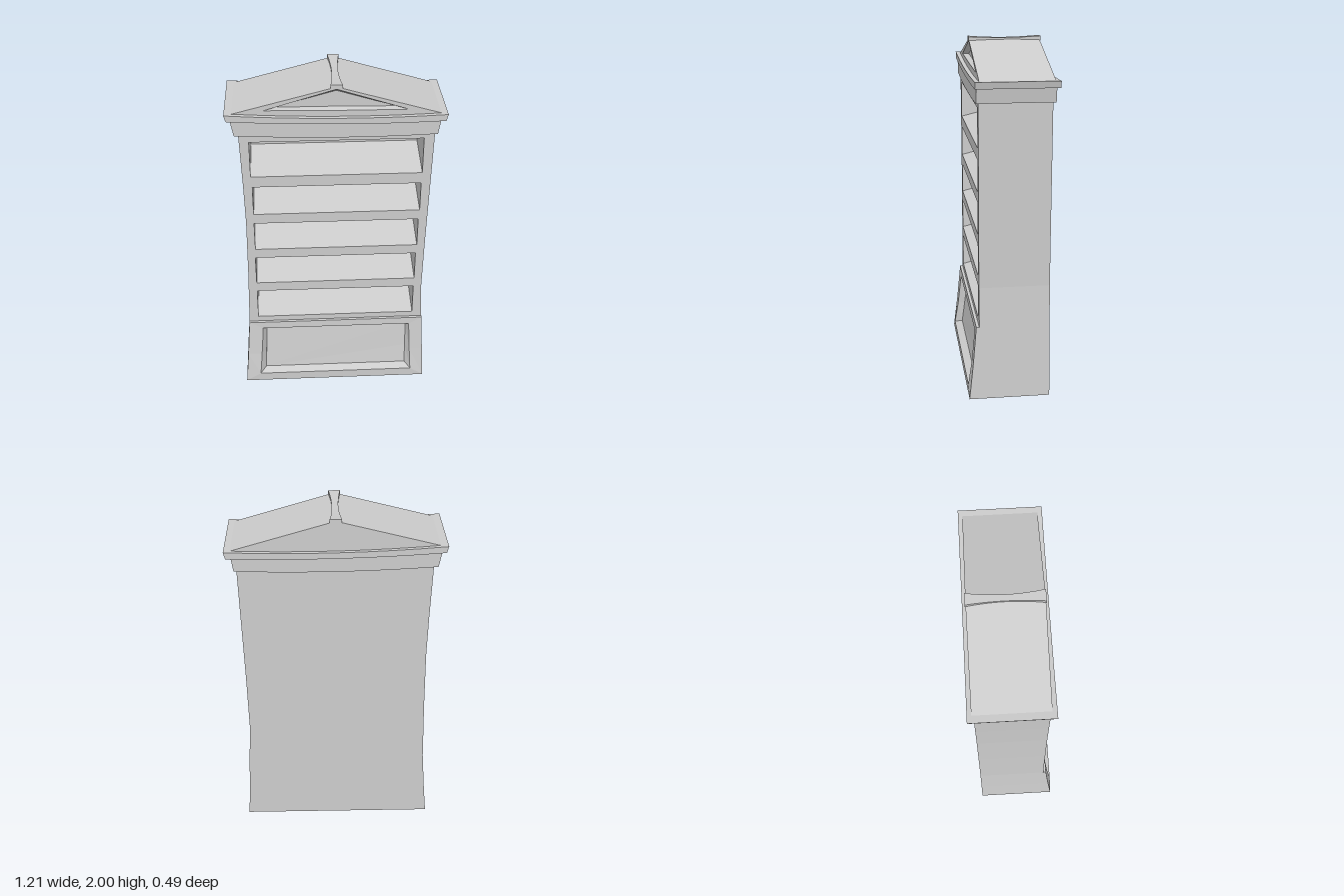
import * as THREE from 'three';

const material = new THREE.MeshStandardMaterial({ color: 0xcccccc, flatShading: true });

function addMesh(group, name, geometry) {
  const mesh = new THREE.Mesh(geometry, material);
  mesh.name = name;
  group.add(mesh);
}

const outline = (points) => new THREE.Shape(points.map(([x, y]) => new THREE.Vector2(x, y)));

// Extrude a front-facing outline between two depths
function slab(shape, zBack, zFront) {
  const g = new THREE.ExtrudeGeometry(shape, { depth: zFront - zBack, bevelEnabled: false, curveSegments: 8 });
  return g.translate(0, 0, zBack);
}

// Skin a series of counter-clockwise rings from back to front; the back cap is optional
function loft(rings, closeBack = true) {
  const pos = [];
  const n = rings[0].length;
  const tri = (a, b, c) => pos.push(...a, ...b, ...c);
  for (let r = 0; r < rings.length - 1; r++) {
    for (let i = 0; i < n; i++) {
      const j = (i + 1) % n;
      const [a, b, c, d] = [rings[r][i], rings[r][j], rings[r + 1][j], rings[r + 1][i]];
      tri(a, b, c);
      tri(a, c, d);
    }
  }
  const first = rings[0], last = rings[rings.length - 1];
  for (let i = 1; i < n - 1; i++) {
    if (closeBack) tri(first[0], first[i + 1], first[i]);
    tri(last[0], last[i], last[i + 1]);
  }
  const g = new THREE.BufferGeometry();
  g.setAttribute('position', new THREE.Float32BufferAttribute(pos, 3));
  g.computeVertexNormals();
  return g;
}

const atDepth = (points, z) => points.map(([x, y]) => [x, y, z]);

// Band whose bottom and top edges sag through the given middle heights
function saggingBand(bl, br, tr, tl, midBottom, midTop) {
  const s = new THREE.Shape();
  const control = (a, b, mid) => 2 * mid - (a[1] + b[1]) / 2;
  s.moveTo(...bl);
  s.quadraticCurveTo(0, control(bl, br, midBottom), ...br);
  s.lineTo(...tr);
  s.quadraticCurveTo(0, control(tl, tr, midTop), ...tl);
  s.closePath();
  return s;
}

export function createModel() {
  const group = new THREE.Group();
  group.name = 'bookcase';

  const BACK = -0.214, INNER = -0.08, FRONT = 0.187;

  // Waisted, slightly crooked silhouette of the case
  const silhouette = [
    [-0.57, 0], [0.547, 0], [0.537, 0.2], [0.527, 0.43], [0.515, 0.66], [0.521, 1.0], [0.532, 1.4], [0.541, 1.74],
    [-0.536, 1.74], [-0.525, 1.4], [-0.52, 1.15], [-0.525, 0.8], [-0.535, 0.43], [-0.552, 0.2],
  ];

  // Shelf openings: left, right, bottom, top
  const openings = [
    [-0.478, 0.467, 0.465, 0.66],
    [-0.478, 0.469, 0.72, 0.903],
    [-0.475, 0.474, 0.963, 1.143],
    [-0.474, 0.479, 1.205, 1.385],
    [-0.48, 0.482, 1.452, 1.67],
  ];
  const frame = outline(silhouette);
  for (const [l, r, b, t] of [...openings, [-0.47, 0.455, 0.05, 0.39]]) {
    frame.holes.push(new THREE.Path([[l, b], [l, t], [r, t], [r, b]].map((p) => new THREE.Vector2(...p))));
  }
  addMesh(group, 'caseFrame', slab(frame, INNER, FRONT));
  addMesh(group, 'caseBack', slab(outline(silhouette), BACK, INNER));

  // Shelf floors rising toward the back
  openings.forEach(([l, r, b], i) => {
    const wedge = atDepth([[l, b - 0.01], [r, b - 0.01], [r, b + 0.065], [l, b + 0.065]], INNER);
    const lip = atDepth([[l, b - 0.01], [r, b - 0.01], [r, b], [l, b]], FRONT - 0.001);
    addMesh(group, `shelfFloor${i + 1}`, loft([wedge, lip]));
  });

  // Flared base front with a bevelled, sunken panel that follows the flare
  const base = [[-0.57, 0], [0.547, 0], [0.537, 0.2], [0.527, 0.43], [-0.535, 0.43], [-0.552, 0.2]];
  const panelEdge = [[-0.48, 0.055], [0.465, 0.055], [0.457, 0.2], [0.448, 0.385], [-0.453, 0.385], [-0.467, 0.2]];
  const panel = [[-0.445, 0.075], [0.432, 0.075], [0.432, 0.2], [0.432, 0.365], [-0.43, 0.365], [-0.439, 0.2]];
  const flare = (points, inset) => points.map(([x, y]) => {
    const t = THREE.MathUtils.clamp((0.43 - y) / 0.375, 0, 1);
    return [x, y, 0.204 + 0.043 * Math.pow(t, 1.5) - inset];
  });
  addMesh(group, 'basePanel', loft(
    [atDepth(base, FRONT), flare(base, 0), flare(panelEdge, 0), flare(panel, 0.042)], false));

  // Two-step sagging cornice
  addMesh(group, 'lowerCornice', slab(
    saggingBand([-0.558, 1.718], [0.554, 1.702], [0.568, 1.79], [-0.576, 1.815], 1.695, 1.785), -0.229, 0.201));
  addMesh(group, 'upperCornice', slab(
    saggingBand([-0.596, 1.808], [0.594, 1.784], [0.604, 1.822], [-0.606, 1.845], 1.78, 1.815), -0.245, 0.21));

  // Gabled roof with a recessed front pediment (apex, left, middle, right)
  const gable = [[0, 1.987], [-0.58, 1.838], [0, 1.805], [0.582, 1.817]];
  const recessEdge = [[0, 1.974], [-0.392, 1.858], [0, 1.85], [0.392, 1.847]];
  const recess = [[0, 1.953], [-0.335, 1.862], [0, 1.86], [0.335, 1.854]];
  addMesh(group, 'roof', loft([
    atDepth(gable, -0.222), atDepth(gable, 0.185), atDepth(recessEdge, 0.185), atDepth(recess, 0.153),
  ]));

  // Ridge cap, pinched and dipped in the middle
  const capRings = [];
  for (let i = 0; i <= 8; i++) {
    const t = i / 8;
    const bow = Math.pow(2 * t - 1, 2);
    const w = 0.018 + 0.015 * bow, top = 1.992 + 0.008 * bow;
    capRings.push(atDepth([[-w, 1.974], [w, 1.974], [w, top], [-w, top]], -0.227 + 0.415 * t));
  }
  addMesh(group, 'ridgeCap', loft(capRings));

  return group;
}
